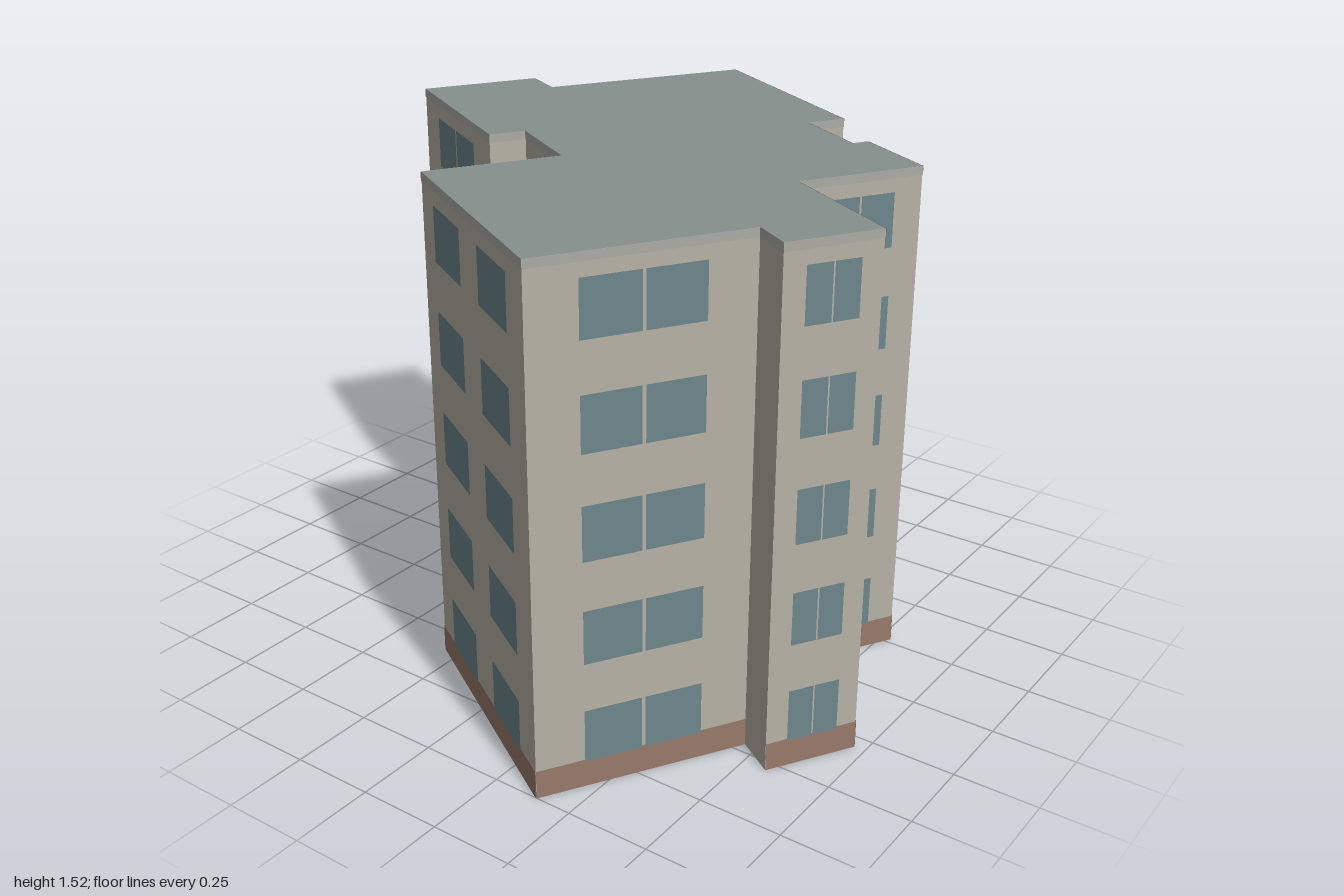
import * as THREE from 'three';
import { mergeGeometries } from 'three/addons/utils/BufferGeometryUtils.js';

const HEIGHT = 1.52, PLINTH = 0.085, FASCIA = 0.025;
const FLOORS = 5, STOREY = 0.304, SILL = 0.08, WINDOW_HEIGHT = 0.16;

// Window layouts: spans along the wall, from 0 to 1
const PAIR = [[0.225, 0.492], [0.508, 0.775]];
const TWO = [[0.135, 0.405], [0.585, 0.86]];
const NONE = [];

// Footprint corners [x, z], each with the layout of the wall that starts there
// and, optionally, a storey left without windows
const WALLS = [
  [0.16, -0.97, PAIR],
  [0.49, -0.78, NONE],
  [0.42, -0.65, PAIR],
  [1.0, -0.305, TWO],
  [0.61, 0.34, NONE],
  [0.505, 0.275, NONE],
  [0.37, 0.505, NONE],
  [0.415, 0.53, PAIR, 2],
  [0.27, 0.78, PAIR],
  [-0.065, 0.58, PAIR],
  [-0.295, 0.965, PAIR],
  [-0.535, 0.82, NONE],
  [-0.465, 0.71, PAIR],
  [-1.0, 0.39, TWO],
  [-0.585, -0.305, PAIR],
  [-0.23, -0.095, PAIR, 2],
  [-0.075, -0.355, NONE],
  [-0.17, -0.415, PAIR],
];

// Upright rectangle on the wall a-b, from t0 to t1 along it, facing outwards
function panel(a, b, t0, t1, y0, y1, offset = 0) {
  const dx = b[0] - a[0], dz = b[1] - a[1];
  const length = Math.hypot(dx, dz), nx = dz / length, nz = -dx / length;
  const t = (t0 + t1) / 2;
  return new THREE.PlaneGeometry(length * (t1 - t0), y1 - y0)
    .rotateY(Math.atan2(nx, nz))
    .translate(a[0] + dx * t + nx * offset, (y0 + y1) / 2, a[1] + dz * t + nz * offset);
}

function part(name, geometry, color) {
  const material = new THREE.MeshStandardMaterial({ color, side: THREE.DoubleSide });
  const mesh = new THREE.Mesh(geometry, material);
  mesh.name = name;
  return mesh;
}

export function createModel() {
  const group = new THREE.Group();
  group.name = 'apartmentBlock';
  const walls = [], plinths = [], panes = [], fascias = [];

  WALLS.forEach((a, i) => {
    const b = WALLS[(i + 1) % WALLS.length];
    const [, , layout, blankFloor] = a;
    walls.push(panel(a, b, 0, 1, 0, HEIGHT));
    fascias.push(panel(a, b, 0, 1, HEIGHT - FASCIA, HEIGHT, 0.002));
    // Plain walls have neither plinth nor windows
    if (!layout.length) return;
    plinths.push(panel(a, b, 0, 1, 0, PLINTH, 0.002));
    for (let floor = 0; floor < FLOORS; floor++) {
      if (floor === blankFloor) continue;
      const y = SILL + floor * STOREY;
      for (const [t0, t1] of layout) panes.push(panel(a, b, t0, t1, y, y + WINDOW_HEIGHT, 0.004));
    }
  });

  // Flat roof over the footprint
  const outline = new THREE.Shape(WALLS.map(([x, z]) => new THREE.Vector2(x, -z)));
  const roof = new THREE.ShapeGeometry(outline).rotateX(-Math.PI / 2).translate(0, HEIGHT, 0);

  group.add(
    part('walls', mergeGeometries(walls), 0xb8b2a6),
    part('plinth', mergeGeometries(plinths), 0x99796b),
    part('windows', mergeGeometries(panes), 0x6d878d),
    part('roofEdge', mergeGeometries(fascias), 0xacaca4),
    part('roof', roof, 0x85908c),
  );
  return group;
}
